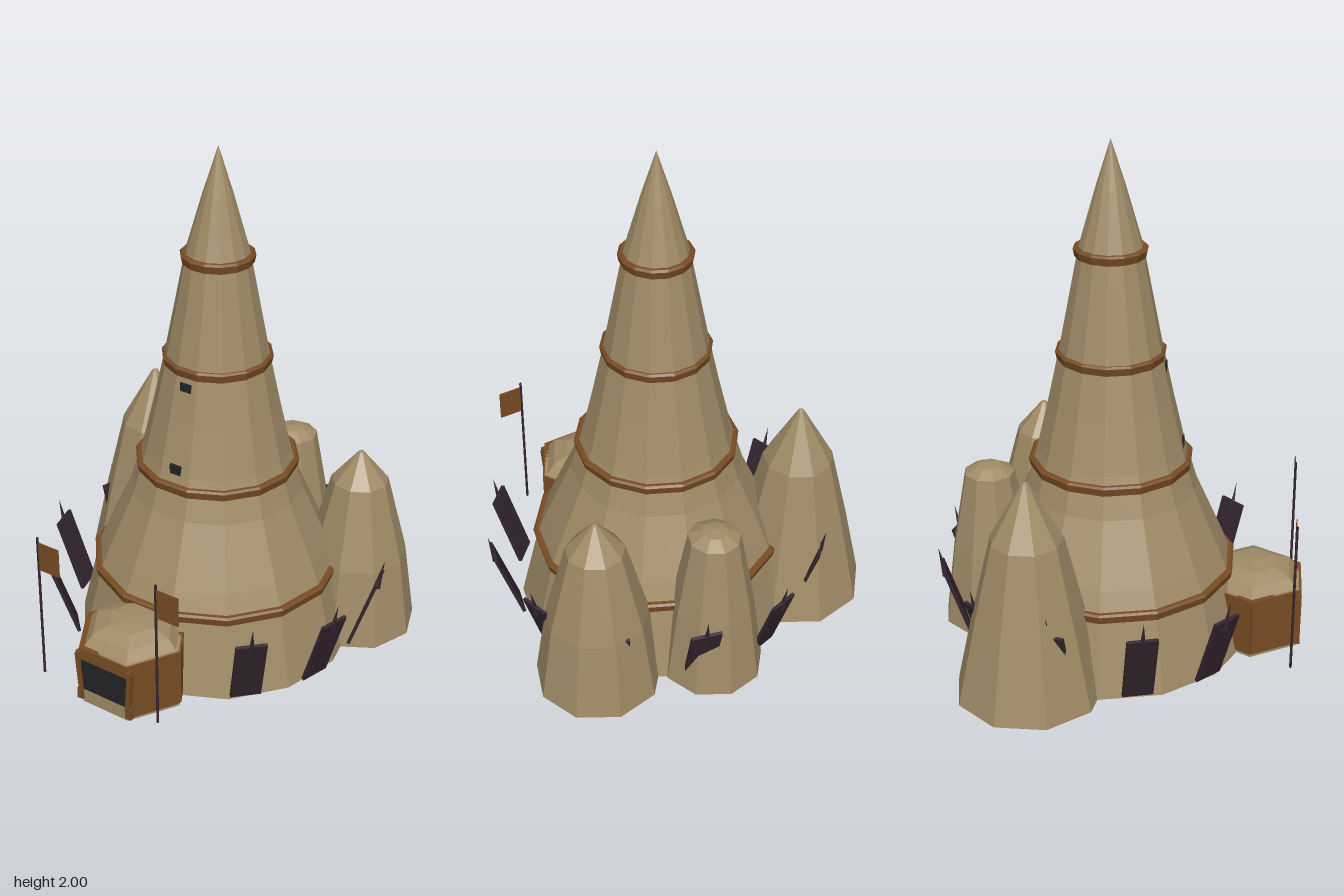
import * as THREE from 'three';

const mat = (name, color) => {
  const m = new THREE.MeshStandardMaterial({ color, flatShading: true });
  m.name = name;
  return m;
};

export function createModel() {
  const root = new THREE.Group();
  root.name = 'spireFortress';
  const stone = mat('sandstone', 0xa08b66);
  const wood = mat('wood', 0x784c24);
  const hide = mat('darkHide', 0x34262f);
  const dark = mat('darkOpening', 0x222426);

  const add = (parent, name, geo, material, x = 0, y = 0, z = 0) => {
    const mesh = new THREE.Mesh(geo, material);
    mesh.name = name;
    mesh.position.set(x, y, z);
    parent.add(mesh);
    return mesh;
  };
  // faceted turned shape from [radius, height] pairs, bottom to top
  const turned = (profile, sides) => new THREE.LatheGeometry(
    profile.map(([r, y]) => new THREE.Vector2(r, y)), sides, Math.PI / 2);
  const box = (w, h, d) => new THREE.BoxGeometry(w, h, d);

  const CX = 0.03, CZ = -0.04;

  // main spire
  add(root, 'mainSpire', turned([
    [0, 0], [0.548, 0], [0.472, 0.32], [0.44, 0.4], [0.335, 0.64], [0.287, 0.8],
    [0.24, 1.0], [0.197, 1.2], [0.12, 1.6], [0.057, 1.82], [0, 2],
  ], 14), stone, CX, 0, CZ);

  // wooden hoops around the spire
  for (const [y, r] of [[0.31, 0.492], [0.75, 0.318], [1.185, 0.211], [1.583, 0.14]]) {
    const h = 0.018, inner = r - 0.06;
    add(root, 'hoop', turned([
      [inner, -h], [r - 0.006, -h], [r, h * 0.6], [r - 0.008, h], [inner, h],
    ], 14), wood, CX, y, CZ);
  }

  // spire windows
  add(root, 'lowerWindow', box(0.048, 0.045, 0.03), dark, CX, 0.815, 0.225);
  add(root, 'upperWindow', box(0.048, 0.045, 0.03), dark, CX, 1.125, 0.155);

  // three side towers
  add(root, 'leftRearTower', turned(
    [[0, 0], [0.285, 0], [0.215, 0.32], [0.138, 0.64], [0.012, 0.865], [0, 0.872]], 9),
  stone, -0.455, 0, -0.305).name = 'rightTower';
  add(root, 'leftTower', turned(
    [[0, 0], [0.245, 0], [0.197, 0.32], [0.112, 0.64], [0.012, 0.76], [0, 0.766]], 9),
  stone, 0.485, 0, -0.36);
  add(root, 'backTower', turned(
    [[0, 0], [0.2, 0], [0.158, 0.32], [0.1, 0.64], [0.05, 0.667], [0, 0.675]], 9),
  stone, 0.075, 0, -0.525);

  // gatehouse
  const gate = new THREE.Group();
  gate.name = 'gatehouse';
  gate.position.set(CX, 0, 0.52);
  root.add(gate);
  add(gate, 'gateWalls', turned([[0, 0], [0.21, 0], [0.21, 0.25], [0, 0.25]], 6), stone);
  add(gate, 'gateDome', turned(
    [[0.2, 0.245], [0.165, 0.288], [0.1, 0.313], [0, 0.322]], 6), stone);
  add(gate, 'gateRim', turned(
    [[0.18, 0.232], [0.219, 0.232], [0.219, 0.25], [0.18, 0.25]], 6), wood);
  for (const deg of [30, 150, 210, 330]) {
    const a = THREE.MathUtils.degToRad(deg);
    const panel = add(gate, 'wallPanel', box(0.21, 0.22, 0.012), wood,
      Math.cos(a) * 0.183, 0.125, Math.sin(a) * 0.183);
    panel.rotation.y = Math.PI / 2 - a;
  }

  // doorway with leaning posts, lintel and post feet
  const door = new THREE.Shape([[-0.1, 0.06], [0.1, 0.06], [0.112, 0.205], [-0.112, 0.205]]
    .map(([x, y]) => new THREE.Vector2(x, y)));
  add(gate, 'doorway', new THREE.ShapeGeometry(door), dark, 0, 0, 0.1835);
  add(gate, 'lintel', box(0.25, 0.03, 0.02), wood, 0, 0.217, 0.182);
  for (const s of [-1, 1]) {
    const post = add(gate, 'doorPost', box(0.018, 0.17, 0.02), wood, s * 0.114, 0.135, 0.182);
    post.rotation.z = -s * 0.08;
    add(gate, 'postFoot', box(0.024, 0.045, 0.02), wood, s * 0.112, 0.038, 0.182);
  }

  // flags on poles either side of the gate
  for (const x of [-0.282, 0.252]) {
    add(root, 'flagPole', new THREE.CylinderGeometry(0.005, 0.005, 0.61, 6), hide, x, 0.335, 0.675);
    add(root, 'flag', box(0.095, 0.12, 0.004), wood, x + 0.05, 0.56, 0.675);
  }

  // ring of leaning hide shields with spikes, open at the gate
  for (let deg = 15; deg < 360; deg += 30) {
    if (deg === 75 || deg === 105) continue;
    const a = THREE.MathUtils.degToRad(deg);
    const g = new THREE.Group();
    g.name = 'hideShield';
    g.position.set(CX + Math.cos(a) * 0.615, 0.18, CZ + Math.sin(a) * 0.615);
    g.rotation.y = Math.PI / 2 - a;
    root.add(g);
    const plate = add(g, 'shieldPlate', box(0.118, 0.31, 0.013), hide);
    plate.rotation.x = 0.32;
    const spike = add(g, 'shieldSpike', new THREE.ConeGeometry(0.014, 0.13, 4), hide, 0, 0.165, 0.053);
    spike.rotation.x = 0.2;
  }
  return root;
}
